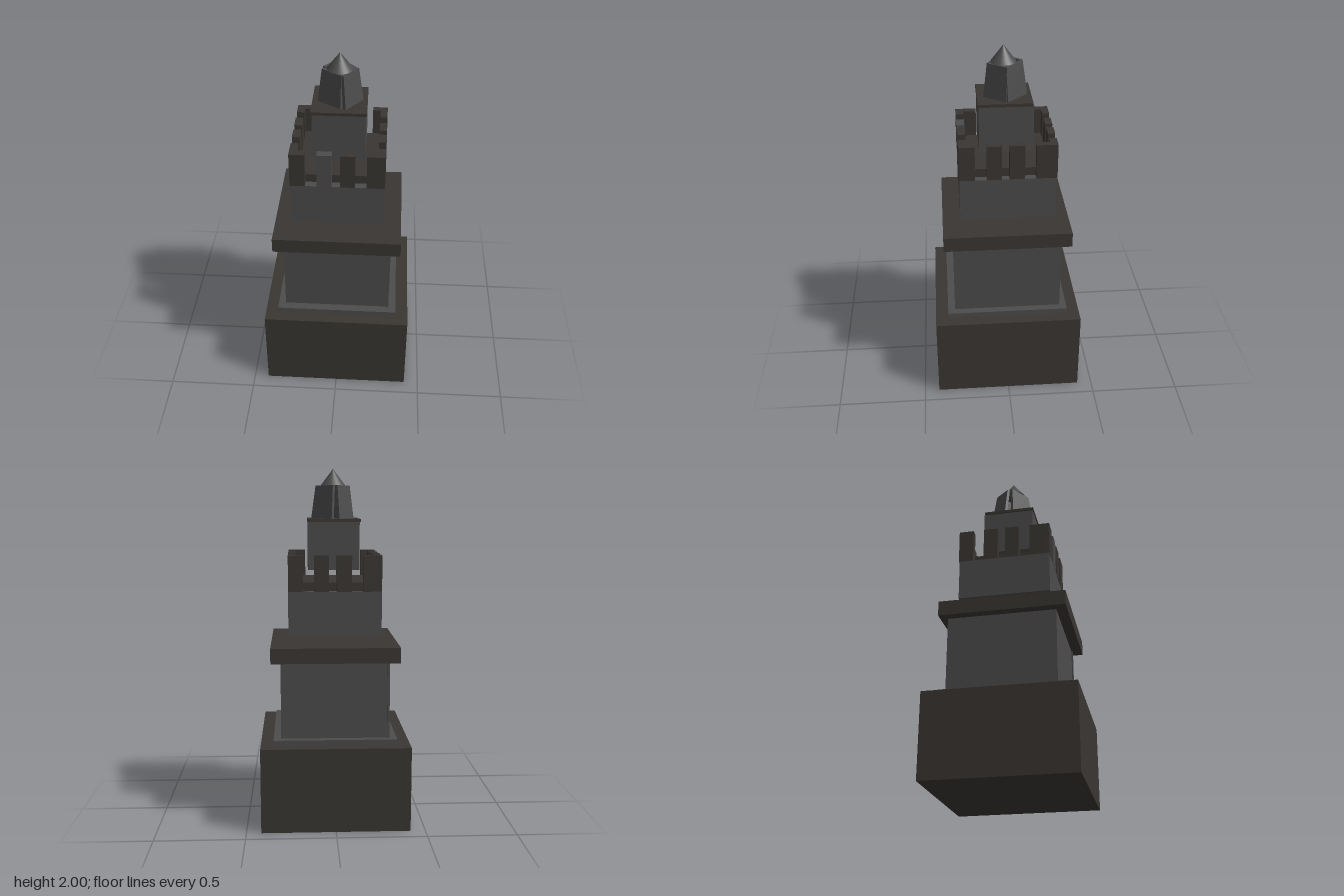
import * as THREE from 'three';

const stone = new THREE.MeshStandardMaterial({ color: 0x4c4c4c, flatShading: true });
const trim = new THREE.MeshStandardMaterial({ color: 0x3a3632, flatShading: true });

// Box given by its [min, max] range on each axis
function box(name, [x0, x1], [y0, y1], [z0, z1], material) {
  const mesh = new THREE.Mesh(new THREE.BoxGeometry(x1 - x0, y1 - y0, z1 - z0), material);
  mesh.position.set((x0 + x1) / 2, (y0 + y1) / 2, (z0 + z1) / 2);
  mesh.name = name;
  return mesh;
}

// Leaning slab on the ground edge a -> b ([x, z] points), narrower at the top
function spirePanel(a, b, y0, y1) {
  const A = new THREE.Vector3(a[0], 0, a[1]), B = new THREE.Vector3(b[0], 0, b[1]);
  const along = B.clone().sub(A).multiplyScalar(0.5);
  const mid = A.clone().add(B).multiplyScalar(0.5);
  const out = new THREE.Vector3(-along.z, 0, along.x).normalize();
  const geo = new THREE.BoxGeometry(2, 2, 2);
  const pos = geo.attributes.position, p = new THREE.Vector3();
  for (let i = 0; i < pos.count; i++) {
    const top = pos.getY(i) > 0;
    p.copy(mid).multiplyScalar(top ? 0.76 : 1);
    p.addScaledVector(along, pos.getX(i) * (top ? 0.84 : 1));
    if (pos.getZ(i) < 0) p.addScaledVector(out, -0.018);
    pos.setXYZ(i, p.x, top ? y1 : y0, p.z);
  }
  geo.computeVertexNormals();
  const mesh = new THREE.Mesh(geo, stone);
  mesh.name = 'spirePanel';
  return mesh;
}

export function createModel() {
  const model = new THREE.Group();
  model.name = 'steppedTower';

  // Pedestal, lower shaft and cornice
  model.add(
    box('base', [-0.417, 0.417], [0, 0.48], [-0.417, 0.417], trim),
    box('plinth', [-0.345, 0.345], [0.48, 0.51], [-0.345, 0.345], stone),
    box('shaft', [-0.295, 0.295], [0.51, 0.945], [-0.305, 0.297], stone),
    box('shaftLeftWall', [0.29, 0.303], [0.51, 0.945], [-0.305, 0.305], stone),
    box('shaftRightWall', [-0.303, -0.29], [0.51, 0.945], [-0.315, 0.297], stone),
    box('cornice', [-0.357, 0.357], [0.945, 1.03], [-0.357, 0.357], trim),
  );

  // Upper block with its raised terrace floor
  model.add(
    box('upperBlock', [-0.258, 0.258], [1.09, 1.33], [-0.27, 0.258], stone),
    box('terrace', [-0.215, 0.217], [1.33, 1.378], [-0.235, 0.215], trim),
  );

  // Battlements: spans along each side, the end ones meeting as L-shaped corners
  const battlements = new THREE.Group();
  battlements.name = 'battlements';
  const height = [1.33, 1.528];
  const rowsX = [
    [[0.215, 0.26], [[-0.258, -0.175], [-0.11, -0.03], [0.015, 0.095], [0.158, 0.258]]],
    [[-0.275, -0.235], [[-0.258, -0.155], [-0.093, -0.01], [0.033, 0.115], [0.175, 0.258]]],
  ];
  const rowsZ = [
    [[-0.258, -0.215], [[-0.235, -0.19], [-0.128, -0.045], [0, 0.08], [0.143, 0.215]]],
    [[0.217, 0.258], [[-0.235, -0.16], [-0.098, -0.015], [0.027, 0.108], [0.172, 0.215]]],
  ];
  rowsX.forEach(([z, spans], row) => spans.forEach((x, i) =>
    battlements.add(box('merlon', x, height, z, row === 0 && i === 1 ? stone : trim))));
  rowsZ.forEach(([x, spans]) => spans.forEach((z) =>
    battlements.add(box('merlon', x, height, z, trim))));
  model.add(battlements);

  // Turret and its cap plate
  model.add(
    box('turret', [-0.142, 0.145], [1.44, 1.705], [-0.154, 0.143], stone),
    box('turretCap', [-0.148, 0.148], [1.705, 1.722], [-0.15, 0.147], trim),
  );

  // Spire: four leaning panels under a pointed cone
  const corners = [
    [[0.036, 0.112], [0.125, -0.008]],
    [[0.125, -0.016], [0.013, -0.128]],
    [[-0.031, -0.132], [-0.115, -0.035]],
    [[-0.119, 0.018], [0.007, 0.105]],
  ];
  const spire = new THREE.Group();
  spire.name = 'spire';
  corners.forEach(([a, b]) => spire.add(spirePanel(a, b, 1.722, 1.907)));
  const cone = new THREE.Mesh(new THREE.ConeGeometry(0.07, 0.093, 32),
    new THREE.MeshStandardMaterial({ color: 0x4c4c4c }));
  cone.name = 'spireTip';
  cone.position.y = 1.9535;
  spire.add(cone);
  model.add(spire);

  return model;
}
